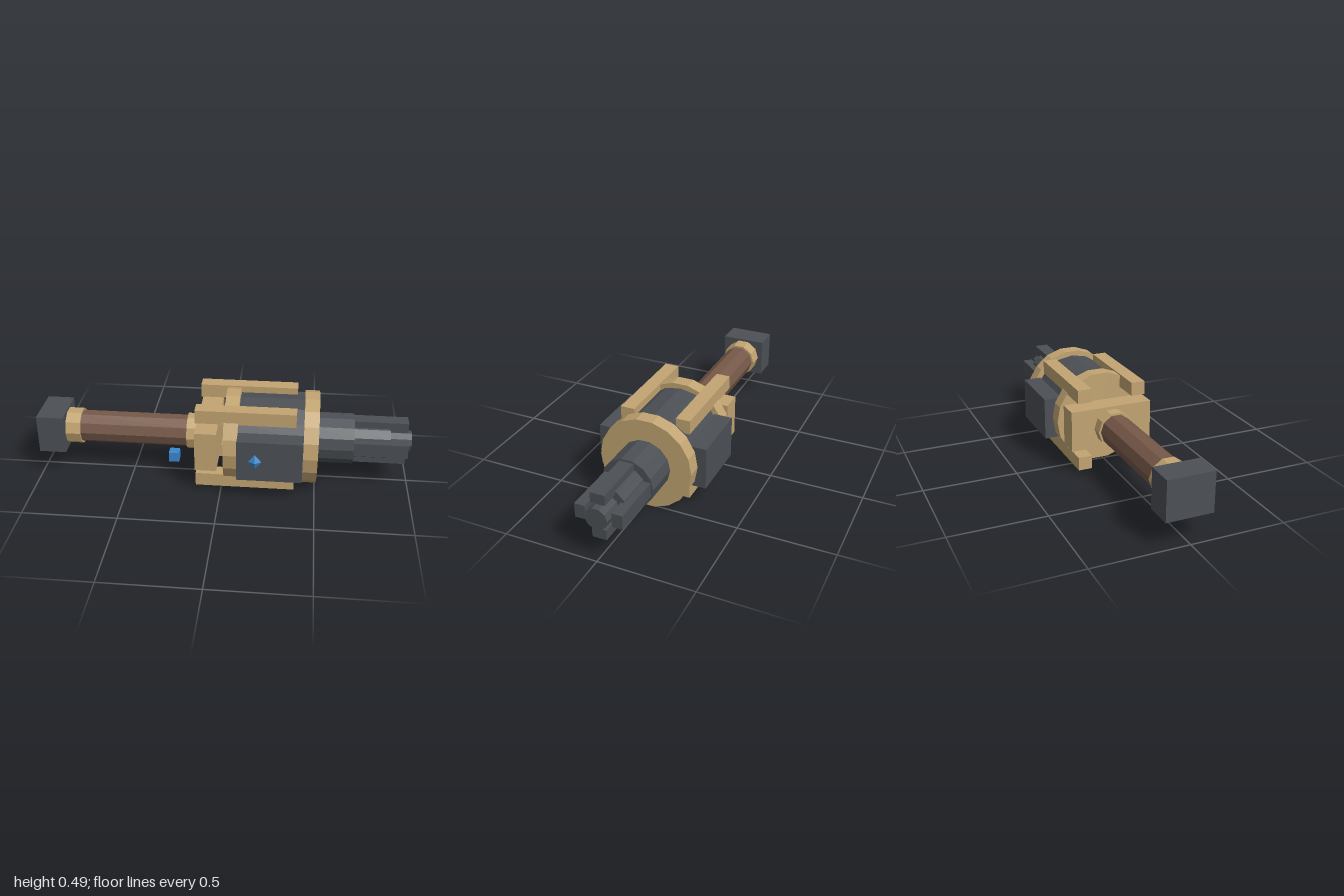
import * as THREE from 'three';

export function createModel() {
  const model = new THREE.Group();
  const mat = (color) => new THREE.MeshStandardMaterial({ color, flatShading: true });
  const dark = mat(0x4c5055), tan = mat(0xc3a572), brown = mat(0x765848), blue = mat(0x3b87cf);

  // Everything is laid out around the long axis, which runs along x
  const body = new THREE.Group();
  body.name = 'body';
  body.position.set(0, 0.247, -0.009);
  model.add(body);

  const add = (name, geometry, material, x, y = 0, z = 0) => {
    const mesh = new THREE.Mesh(geometry, material);
    mesh.name = name;
    mesh.position.set(x, y, z);
    body.add(mesh);
    return mesh;
  };
  // Cylinder along x from x0 to x1
  const tube = (name, material, x0, x1, radius, sides) =>
    add(name, new THREE.CylinderGeometry(radius, radius, x1 - x0, sides).rotateZ(Math.PI / 2),
      material, (x0 + x1) / 2);
  // Box from x0 to x1, centred on y, z
  const box = (name, material, x0, x1, height, depth, y = 0, z = 0) =>
    add(name, new THREE.BoxGeometry(x1 - x0, height, depth), material, (x0 + x1) / 2, y, z);

  // Handle with end block and collars
  box('pommel', dark, -1, -0.855, 0.21, 0.245);
  tube('rearCollar', tan, -0.855, -0.775, 0.098, 10);
  tube('handle', brown, -0.79, -0.18, 0.087, 10);
  tube('frontCollar', tan, -0.195, -0.13, 0.098, 10);
  box('backPlate', tan, -0.135, -0.02, 0.22, 0.45);

  // Drum between two flanges
  tube('rearFlange', tan, 0.015, 0.09, 0.2485, 18);
  tube('drum', dark, 0.08, 0.44, 0.221, 16);
  tube('frontFlange', tan, 0.43, 0.507, 0.2485, 18);

  // Four rails and two cheek plates
  for (const side of [1, -1]) {
    for (const up of [1, -1]) {
      box('rail', tan, -0.135, 0.39, 0.073, 0.075, up * 0.189, side * 0.151);
    }
    box('cheekPlate', dark, 0.09, 0.43, 0.226, 0.096, 0, side * 0.245);
  }

  // Stepped nose with four prongs
  tube('noseBase', dark, 0.5, 0.695, 0.136, 14);
  tube('noseBarrel', dark, 0.69, 0.885, 0.097, 12);
  tube('noseTip', dark, 0.88, 1, 0.058, 10);
  for (let i = 0; i < 4; i++) {
    const a = i * Math.PI / 2;
    const prong = box('prong', dark, 0.69, 0.977, 0.055, 0.075, 0.0955 * Math.cos(a), 0.0955 * Math.sin(a));
    prong.rotation.x = a;
  }

  // Blue gem on the front cheek plate and trigger block under the handle
  add('gem', new THREE.OctahedronGeometry(1).scale(0.035, 0.042, 0.019), blue, 0.185, 0, 0.293);
  box('trigger', blue, -0.295, -0.24, 0.055, 0.055, -0.129, 0.052);

  return model;
}
